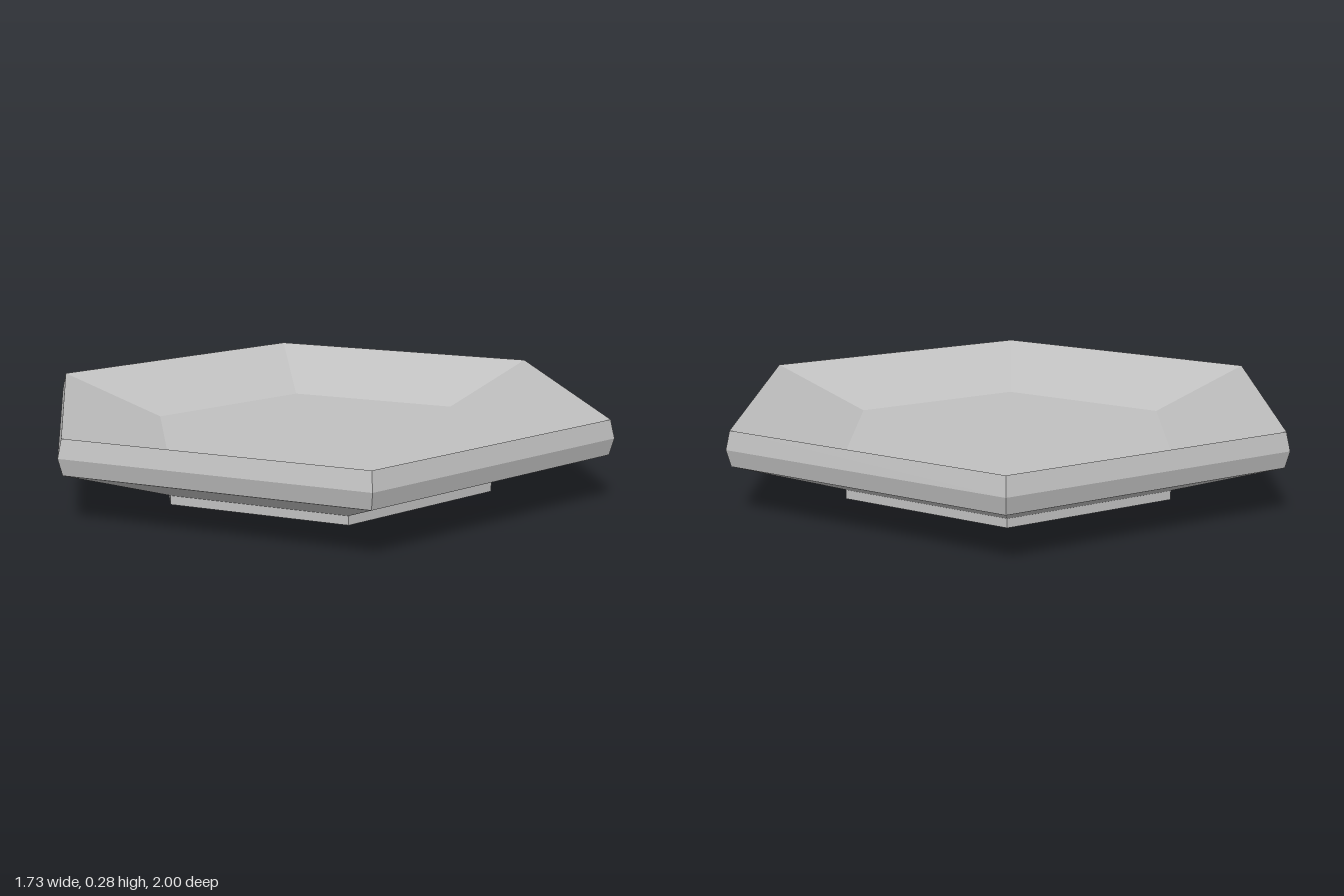
import * as THREE from 'three';

const SIDES = 6;

export function createModel() {
  const group = new THREE.Group();
  group.name = 'hexagonalPlate';

  const lightGrey = new THREE.MeshStandardMaterial({ color: 0xc0c0c0 });
  lightGrey.name = 'light grey';

  // Six-sided ring surface from a [radius, height] profile, with faceted normals
  function addPart(name, profile) {
    const points = profile.map(([r, y]) => new THREE.Vector2(r, y));
    const geometry = new THREE.LatheGeometry(points, SIDES).toNonIndexed();
    geometry.computeVertexNormals();
    const mesh = new THREE.Mesh(geometry, lightGrey);
    mesh.name = name;
    group.add(mesh);
  }

  // Recessed base inside the foot
  addPart('base', [[0, 0.03], [0.56, 0.03]]);
  // Raised foot ring the plate stands on
  addPart('footRing', [[0.56, 0.03], [0.56, 0], [0.605, 0], [0.605, 0.03]]);
  // Flared underside
  addPart('underside', [[0.605, 0.03], [0.985, 0.16]]);
  // Outer edge, bulging slightly at mid-height
  addPart('rim', [[0.985, 0.16], [1, 0.215], [0.985, 0.275]]);
  // Sloping inner walls and flat floor
  addPart('dish', [[0.985, 0.275], [0.607, 0.148], [0, 0.148]]);

  return group;
}
